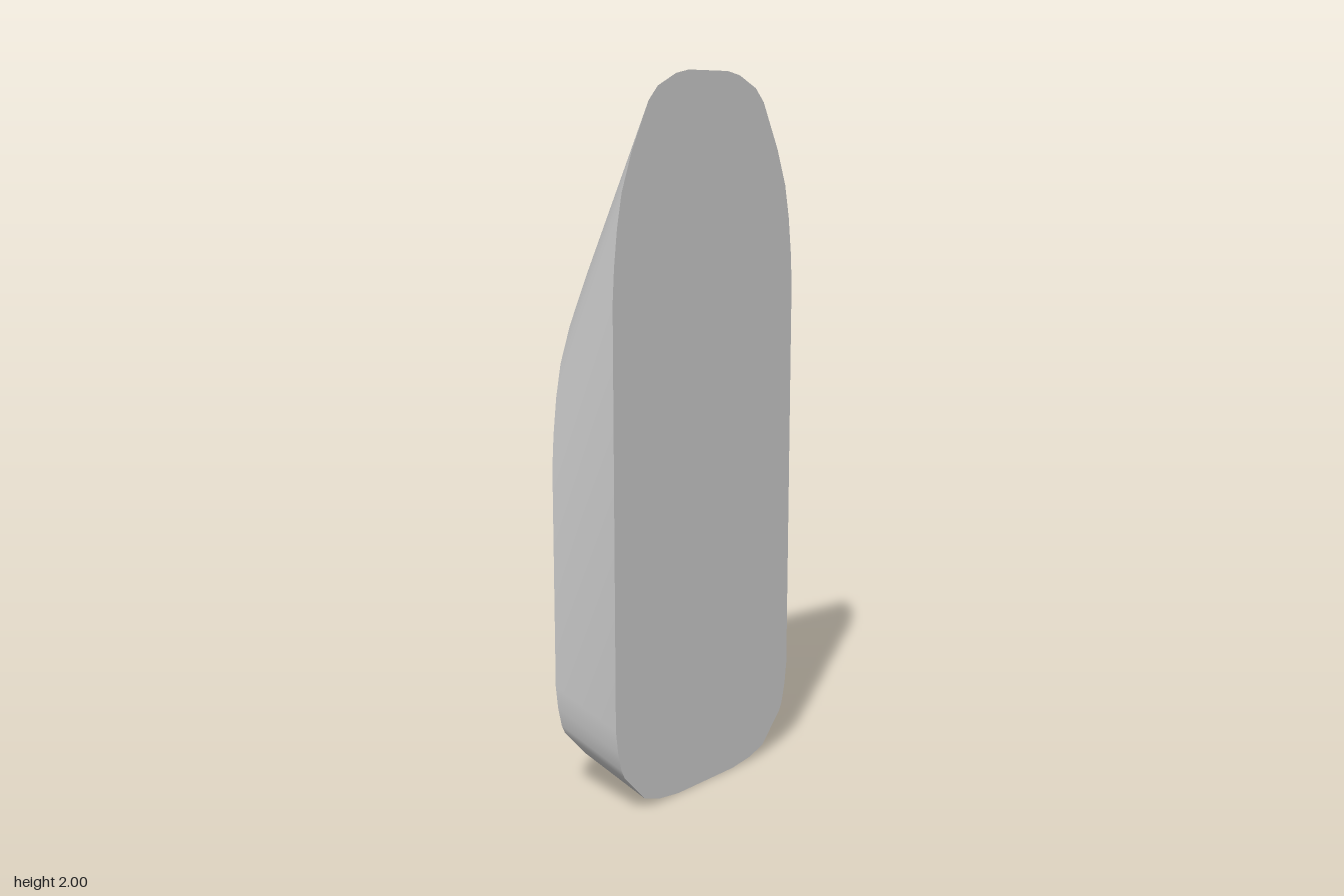
import * as THREE from 'three';
import { toCreasedNormals } from 'three/addons/utils/BufferGeometryUtils.js';

// Right half of the front outline, bottom to top
const HALF = [
  [0.12, 0], [0.2, 0.01], [0.26, 0.03], [0.34, 0.115], [0.352, 0.14], [0.365, 0.195], [0.373, 0.26],
  [0.373, 1.41], [0.367, 1.5], [0.355, 1.6], [0.337, 1.69], [0.3, 1.79], [0.26, 1.87],
  [0.235, 1.92], [0.2, 1.957], [0.13, 1.99], [0.08, 2],
];
const DEPTH = 0.23;

export function createModel() {
  const group = new THREE.Group();
  const mirrored = HALF.map(([x, y]) => [-x, y]).reverse();
  const outline = [...HALF, ...mirrored].map(([x, y]) => new THREE.Vector2(x, y));

  let geometry = new THREE.ExtrudeGeometry(new THREE.Shape(outline), { depth: DEPTH, bevelEnabled: false });
  geometry.translate(0, 0, -DEPTH / 2);

  // Slant the ends: the back face drops at the top and rises at the bottom
  const p = geometry.attributes.position;
  for (let i = 0; i < p.count; i++) {
    if (p.getZ(i) < 0) p.setY(i, p.getY(i) + (p.getY(i) > 1 ? -0.46 : 0.07));
  }
  geometry = toCreasedNormals(geometry, 0.5);

  const body = new THREE.Mesh(geometry, new THREE.MeshStandardMaterial({ color: 0xcccccc }));
  body.name = 'slantedRoundedPanel';
  group.add(body);
  return group;
}
